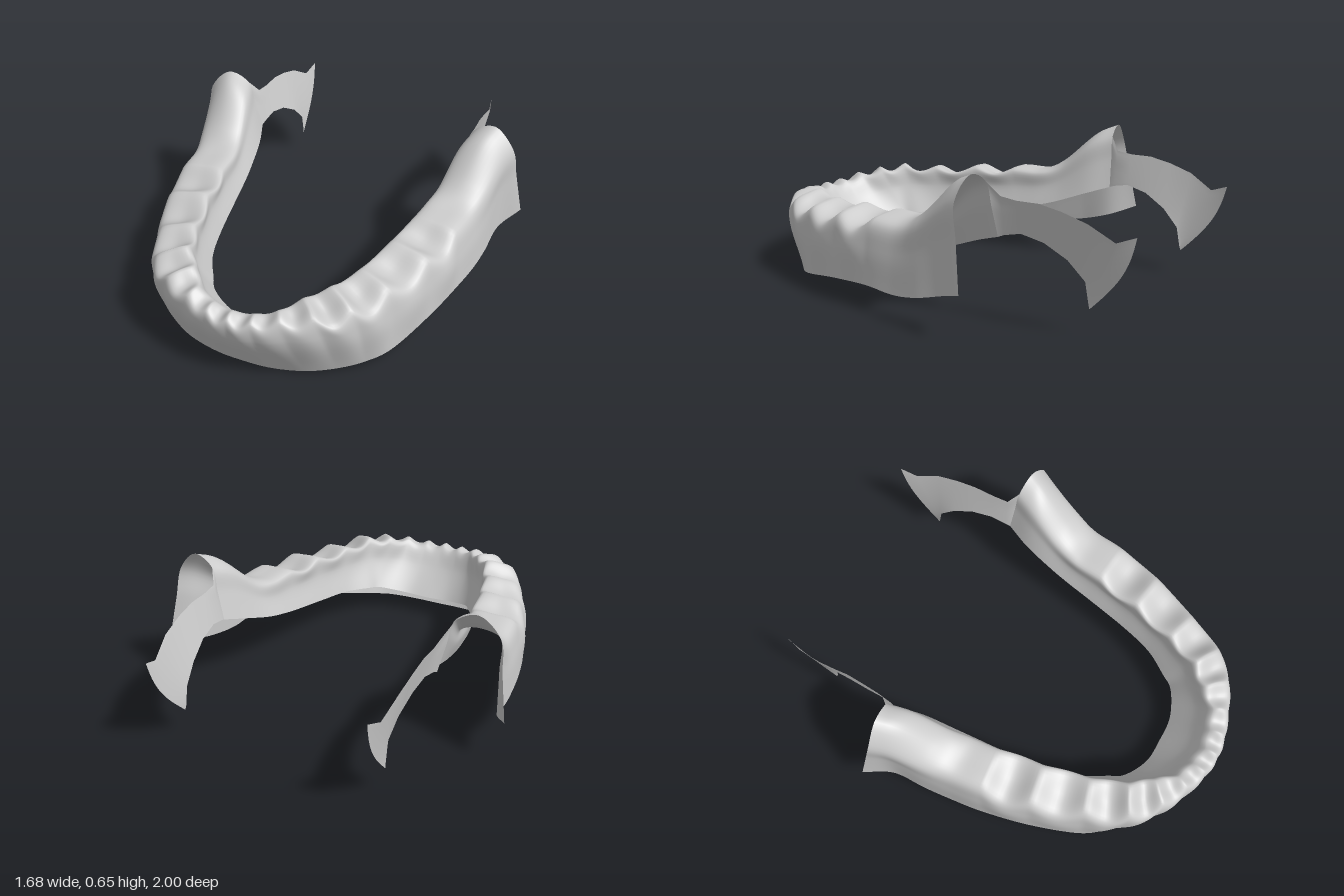
import * as THREE from 'three';

const material = new THREE.MeshStandardMaterial({ color: 0xcccccc, side: THREE.DoubleSide });

// Stations from the midline to the rear; one lies at every gum peak between teeth.
// Each: outer bottom edge, outer shoulder, inner shoulder, inner bottom edge.
const stations = [
  [[0, 0, .87], [0, .305, .988], [0, .315, .92], [0, .1, .72]],
  [[.13, .003, .865], [.1, .31, .974], [.09, .315, .9], [.1, .105, .717]],
  [[.27, .012, .835], [.21, .325, .935], [.18, .34, .87], [.18, .12, .69]],
  [[.385, .018, .775], [.335, .34, .875], [.25, .365, .79], [.25, .14, .645]],
  [[.485, .03, .7], [.455, .34, .77], [.33, .385, .7], [.285, .15, .59]],
  [[.57, .048, .595], [.54, .345, .59], [.39, .375, .54], [.355, .165, .47]],
  [[.66, .09, .37], [.625, .365, .36], [.445, .39, .33], [.4, .18, .31]],
  [[.715, .11, .15], [.675, .38, .14], [.48, .395, .12], [.435, .21, .1]],
  [[.735, .1, -.01], [.695, .38, -.02], [.495, .395, -.02], [.45, .235, -.02]],
  [[.75, .115, -.14], [.722, .42, -.13], [.52, .43, -.13], [.465, .265, -.13]],
  [[.765, .155, -.29], [.755, .51, -.27], [.555, .55, -.27], [.49, .32, -.28]],
  [[.84, .2, -.41], [.785, .55, -.355], [.59, .6, -.38], [.53, .36, -.4]],
];
const LAST = stations.length - 1;
const PROFILE_STEPS = 36;

// Surface through rows of points
function gridMesh(name, rows) {
  const cols = rows[0].length, index = [];
  for (let i = 0; i < rows.length - 1; i++) {
    for (let j = 0; j < cols - 1; j++) {
      const a = i * cols + j, b = a + 1, c = a + cols, d = c + 1;
      index.push(a, c, b, b, c, d);
    }
  }
  const geometry = new THREE.BufferGeometry().setFromPoints(rows.flat());
  geometry.setIndex(index);
  geometry.computeVertexNormals();
  const mesh = new THREE.Mesh(geometry, material);
  mesh.name = name;
  return mesh;
}

// Lengthwise curve through one column of the stations, mirrored across the midline
function lengthCurve(column) {
  const points = [];
  for (let s = -LAST; s <= LAST; s++) {
    const [x, y, z] = stations[Math.abs(s)][column];
    points.push(new THREE.Vector3(Math.sign(s) * x, y, z));
  }
  return new THREE.CatmullRomCurve3(points, false, 'catmullrom', 0.5);
}

// Cross-sections of the horseshoe gum shell, open below, scalloped at every tooth
function gumRows() {
  const curves = [0, 1, 2, 3].map(lengthCurve);
  const rows = [], steps = LAST * 2 * 14;
  for (let i = 0; i <= steps; i++) {
    const s = Math.abs((i / steps * 2 - 1) * LAST);
    const [ob, os, is, ib] = curves.map((c) => c.getPoint(i / steps));
    const tooth = s < 7 ? Math.abs(Math.sin(s * Math.PI)) ** 1.4 : 0;
    const size = THREE.MathUtils.clamp(s / 4, 0.5, 1);
    const front = 1 - THREE.MathUtils.smoothstep(s, 2, 5);
    const rear = THREE.MathUtils.smoothstep(s, 7.6, 10.5);
    const out = os.clone().sub(is).setY(0).normalize();
    const crest = os.clone().lerp(is, 0.5);
    const outerMid = ob.clone().lerp(os, 0.6 + 0.1 * front);
    const innerMid = ib.clone().lerp(is, 0.55);

    // Tooth sockets sink, roots bulge, the rear pad rises
    os.y -= 0.05 * tooth * size;
    os.addScaledVector(out, 0.015 * tooth * size);
    crest.y += 0.015 + 0.055 * rear - 0.055 * tooth * size;
    is.y -= 0.025 * tooth * size;
    is.addScaledVector(out, -0.015 * tooth * size);
    outerMid.addScaledVector(out, 0.015 * (1 - rear) + 0.015 * front + 0.012 * tooth * size);
    innerMid.addScaledVector(out, 0.01 * (1 - rear));

    const profile = new THREE.CatmullRomCurve3([ob, outerMid, os, crest, is, innerMid, ib]);
    const row = [];
    for (let j = 0; j <= PROFILE_STEPS; j++) row.push(profile.getPoint(j / PROFILE_STEPS));
    rows.push(row);
  }
  return rows;
}

// Thin flap trailing from the inner wall: top and bottom edge points
const flapEdges = [
  [[.556, .54, -.425], [.525, .37, -.425]],
  [[.555, .53, -.5], [.518, .385, -.5]],
  [[.553, .53, -.6], [.508, .36, -.6]],
  [[.55, .51, -.7], [.493, .3, -.7]],
  [[.543, .475, -.81], [.482, .22, -.775]],
  [[.522, .41, -.92], [.483, .13, -.792]],
  [[.505, .44, -1], [.485, .11, -.798]],
];

// The flap starts on the inner part of the gum's left end section
function rearFlap(name, side, endSection) {
  const start = endSection.slice(PROFILE_STEPS * 2 / 3);
  const count = start.length - 1;
  const rows = [start, ...flapEdges.map(([top, bottom], i) => {
    const a = new THREE.Vector3(...top), b = new THREE.Vector3(...bottom), row = [];
    for (let j = 0; j <= count; j++) {
      const p = a.clone().lerp(b, j / count);
      // The free end bows outward
      if (i === flapEdges.length - 1) p.z -= 0.04 * Math.sin(Math.PI * j / count);
      row.push(p);
    }
    return row;
  })];
  const sided = rows.map((row) => row.map((p) => new THREE.Vector3(side * p.x, p.y, p.z)));
  return gridMesh(name, side > 0 ? sided : sided.reverse());
}

export function createModel() {
  const group = new THREE.Group();
  group.name = 'lowerGum';
  const rows = gumRows();
  const endSection = rows[rows.length - 1];
  group.add(
    gridMesh('gumShell', rows),
    rearFlap('leftRearFlap', 1, endSection),
    rearFlap('rightRearFlap', -1, endSection),
  );
  return group;
}
